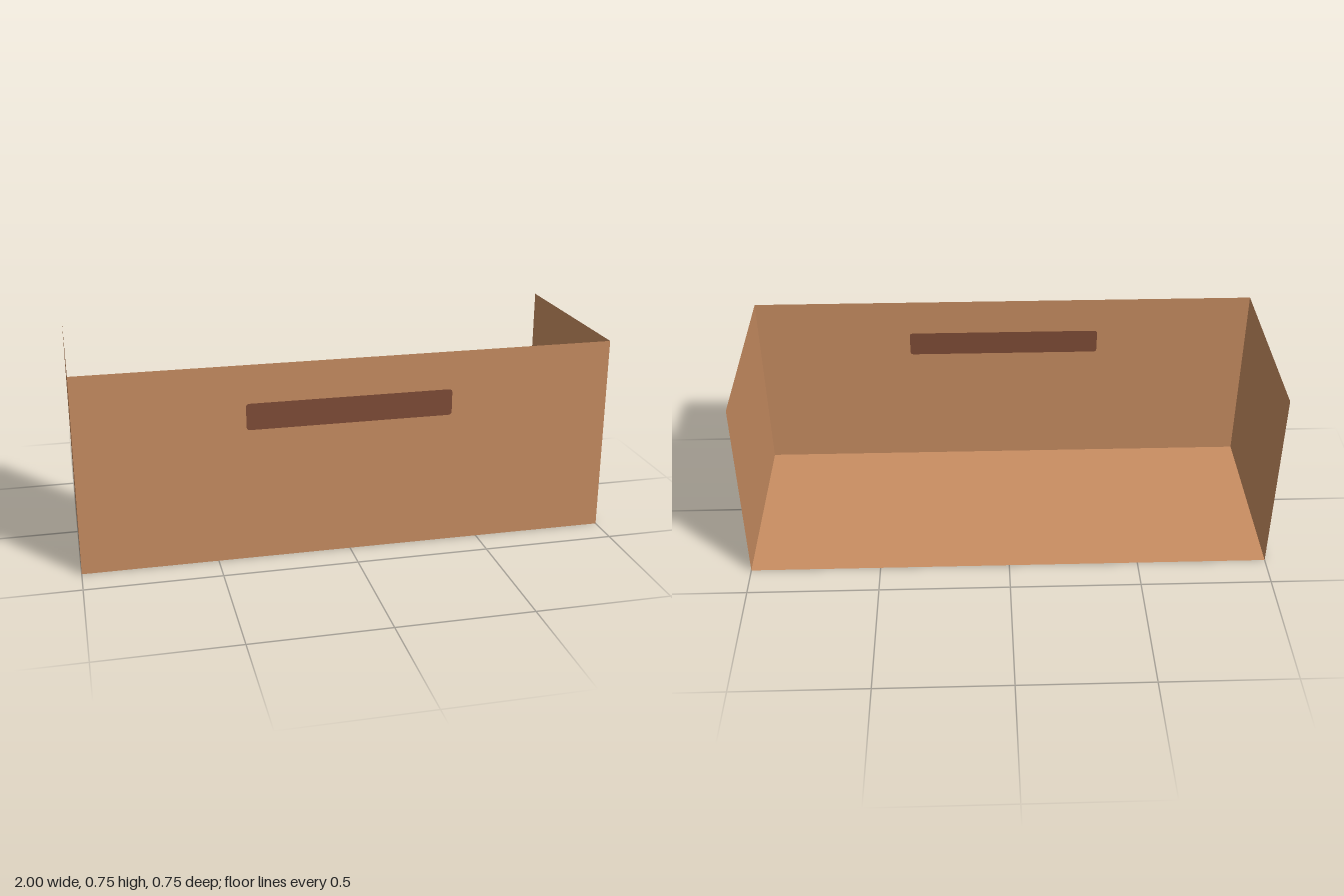
import * as THREE from 'three';

const W = 2, H = 0.75, D = 0.75;

// Slim rounded slot outline, used for both the cut-out and its inset
function slotOutline(target) {
  const x = 0.385, y0 = 0.505, y1 = 0.605, r = 0.014;
  target.moveTo(-x + r, y0);
  target.lineTo(x - r, y0);
  target.quadraticCurveTo(x, y0, x, y0 + r);
  target.lineTo(x, y1 - r);
  target.quadraticCurveTo(x, y1, x - r, y1);
  target.lineTo(-x + r, y1);
  target.quadraticCurveTo(-x, y1, -x, y1 - r);
  target.lineTo(-x, y0 + r);
  target.quadraticCurveTo(-x, y0, -x + r, y0);
  return target;
}

export function createModel() {
  const group = new THREE.Group();
  const wood = new THREE.MeshStandardMaterial({ color: 0xc98e62, side: THREE.DoubleSide });
  wood.name = 'lightWood';
  const dark = new THREE.MeshStandardMaterial({ color: 0x804d37, side: THREE.DoubleSide });
  dark.name = 'darkBrown';

  const add = (name, geometry, material, x, y, z) => {
    const mesh = new THREE.Mesh(geometry, material);
    mesh.name = name;
    mesh.position.set(x, y, z);
    group.add(mesh);
    return mesh;
  };

  // Front sheet with the grip slot cut out
  const front = new THREE.Shape();
  front.moveTo(-W / 2, 0);
  front.lineTo(W / 2, 0);
  front.lineTo(W / 2, H);
  front.lineTo(-W / 2, H);
  front.closePath();
  front.holes.push(slotOutline(new THREE.Path()));
  add('frontPanel', new THREE.ShapeGeometry(front), wood, 0, 0, D / 2);

  // Dark inset filling the slot, visible from both sides
  add('gripSlot', new THREE.ShapeGeometry(slotOutline(new THREE.Shape())), dark, 0, 0, D / 2);

  // Side sheets
  for (const [name, s] of [['leftSide', 1], ['rightSide', -1]]) {
    add(name, new THREE.PlaneGeometry(D, H).rotateY(s * Math.PI / 2), wood, s * W / 2, H / 2, 0);
  }

  // Floor sheet; top and back stay open
  add('floor', new THREE.PlaneGeometry(W, D).rotateX(-Math.PI / 2), wood, 0, 0, 0);

  return group;
}
